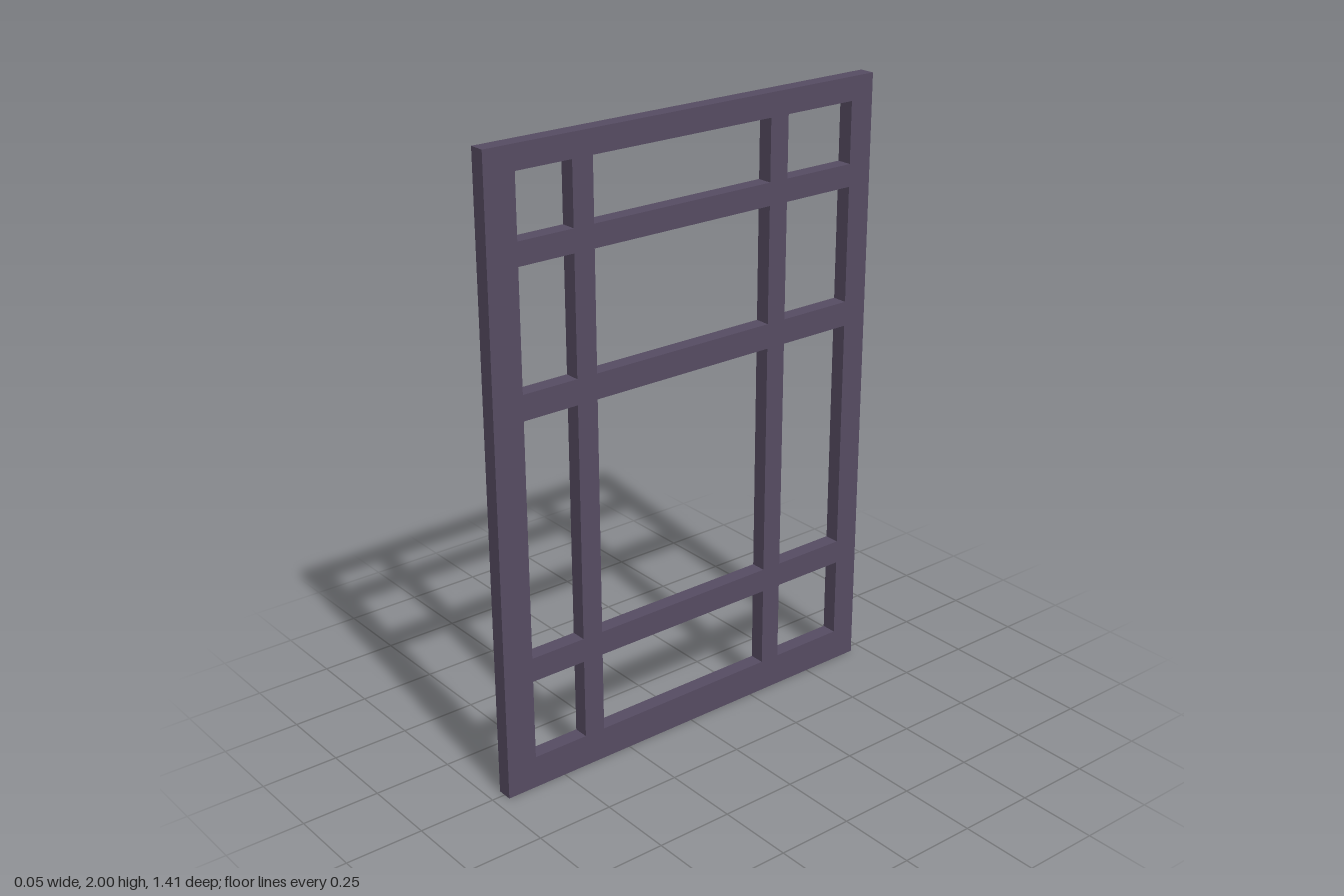
import * as THREE from 'three';

export function createModel() {
  const group = new THREE.Group();
  group.name = 'latticeWindow';

  const halfWidth = 0.706, height = 2, thickness = 0.05;

  // Openings between the bars: [start, end] across (u = -z) and up (y)
  const columns = [[-0.605, -0.418], [-0.348, 0.299], [0.367, 0.622]];
  const rows = [[0.105, 0.367], [0.445, 1.205], [1.285, 1.658], [1.73, 1.925]];

  const rectangle = (path, u0, u1, y0, y1) =>
    path.moveTo(u0, y0).lineTo(u1, y0).lineTo(u1, y1).lineTo(u0, y1).closePath();

  // Outer frame with one hole per pane
  const shape = rectangle(new THREE.Shape(), -halfWidth, halfWidth, 0, height);
  for (const [u0, u1] of columns) {
    for (const [y0, y1] of rows) {
      shape.holes.push(rectangle(new THREE.Path(), u0, u1, y0, y1));
    }
  }

  // Extrude, centre the thickness, and turn the panel to face sideways
  const geometry = new THREE.ExtrudeGeometry(shape, { depth: thickness, bevelEnabled: false });
  geometry.translate(0, 0, -thickness / 2);
  geometry.rotateY(Math.PI / 2);

  const frame = new THREE.Mesh(geometry, new THREE.MeshStandardMaterial({ color: 0x564c62 }));
  frame.name = 'windowFrame';
  group.add(frame);
  return group;
}
